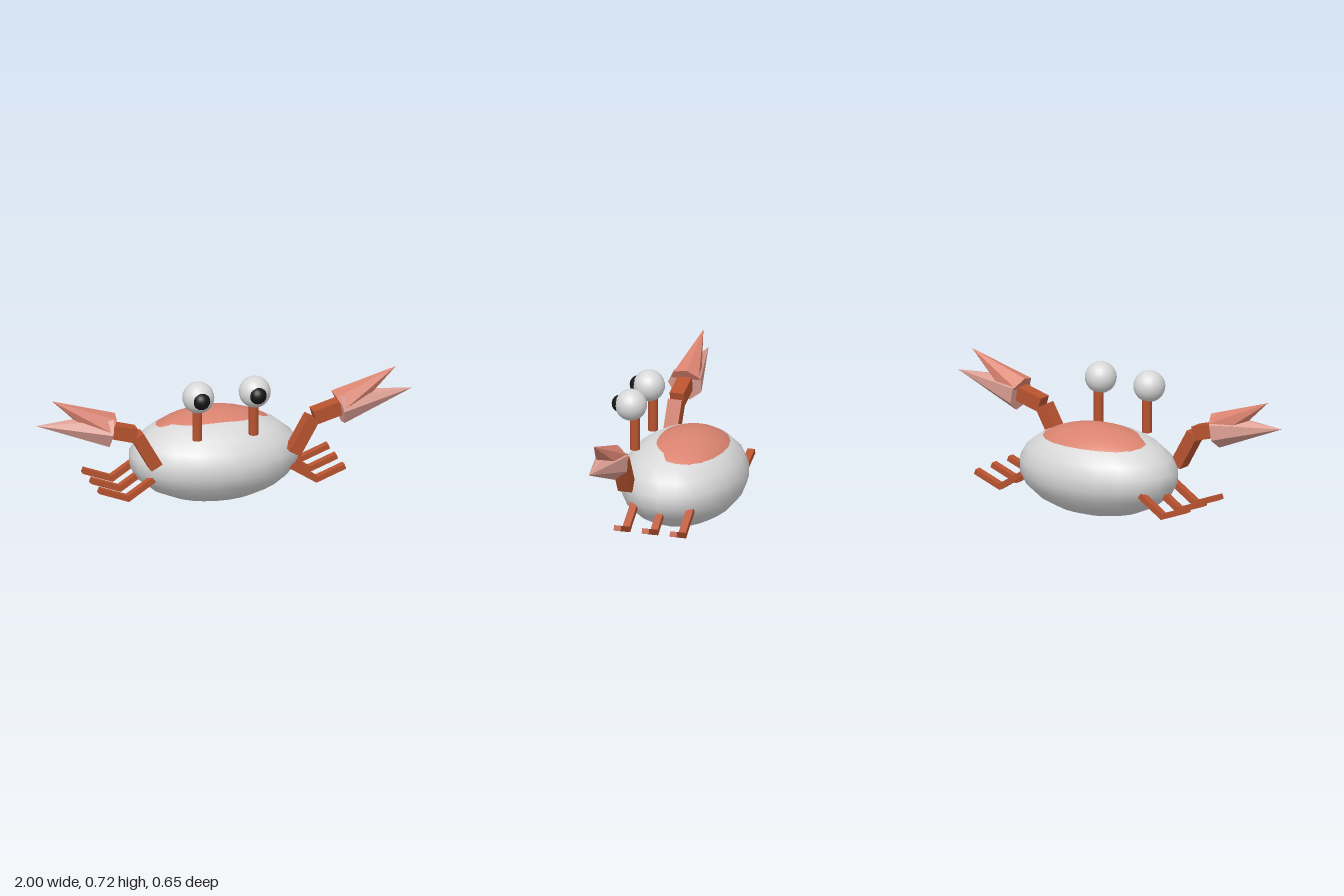
import * as THREE from 'three';

const mat = (name, color) => {
  const m = new THREE.MeshStandardMaterial({ color });
  m.name = name;
  return m;
};

export function createModel() {
  const model = new THREE.Group();
  model.name = 'crab';
  const paleGrey = mat('paleGrey', 0xd8d8d8);
  const rust = mat('rust', 0xb8532f);
  const coral = mat('coral', 0xda8370);
  const pink = mat('pink', 0xdc9f94);
  const black = mat('black', 0x151515);
  const up = new THREE.Vector3(0, 1, 0);

  const add = (name, geometry, material, x = 0, y = 0, z = 0) => {
    const mesh = new THREE.Mesh(geometry, material);
    mesh.name = name;
    mesh.position.set(x, y, z);
    model.add(mesh);
    return mesh;
  };

  // Stretches a y-aligned part between two points [x, y] at depth z
  const span = (name, make, material, a, b, z) => {
    const dir = new THREE.Vector2(b[0] - a[0], b[1] - a[1]);
    const length = dir.length();
    const mesh = add(name, make(length), material, (a[0] + b[0]) / 2, (a[1] + b[1]) / 2, z);
    mesh.quaternion.setFromUnitVectors(up, new THREE.Vector3(dir.x / length, dir.y / length, 0));
  };
  const bar = (thick, depth) => (length) => new THREE.BoxGeometry(thick, length, depth);
  const spike = (radius) => (length) => {
    const g = new THREE.ConeGeometry(radius, length, 7).toNonIndexed();
    g.computeVertexNormals();
    return g;
  };

  // Body
  add('body', new THREE.SphereGeometry(1, 22, 11), paleGrey, 0, 0.232, -0.01).scale.set(0.446, 0.232, 0.319);

  // Coloured shell cap, sheared slightly so it rises towards the back
  const cap = new THREE.SphereGeometry(1, 22, 9, 0, Math.PI * 2, 0, 1.1);
  cap.scale(0.429, 0.265, 0.295);
  const p = cap.attributes.position;
  for (let i = 0; i < p.count; i++) p.setY(i, p.getY(i) - 0.055 * p.getZ(i));
  cap.computeVertexNormals();
  add('shellCap', cap, coral, 0, 0.21, -0.01);

  for (const s of [1, -1]) {
    const side = s > 0 ? 'left' : 'right';
    const at = (x, y) => [s * x, y];

    // Eyes on stalks
    add(side + 'EyeStalk', new THREE.CylinderGeometry(0.025, 0.025, 0.18, 16), rust, s * 0.15, 0.49, 0.207);
    add(side + 'Eye', new THREE.SphereGeometry(0.082, 20, 14), paleGrey, s * 0.15, 0.64, 0.228);
    add(side + 'Pupil', new THREE.SphereGeometry(0.046, 18, 12), black, s * 0.15, 0.64, 0.284);

    // Three bent legs
    for (const z of [0.14, -0.01, -0.16]) {
      span(side + 'UpperLeg', bar(0.03, 0.038), rust, at(0.35, 0.194), at(0.505, 0.093), z);
      span(side + 'LowerLeg', bar(0.028, 0.038), rust, at(0.495, 0.093), at(0.652, 0.153), z);
    }

    // Arm and the two halves of the claw
    span(side + 'UpperArm', bar(0.067, 0.075), rust, at(0.366, 0.273), at(0.467, 0.452), 0.182);
    span(side + 'Forearm', bar(0.075, 0.075), rust, at(0.475, 0.457), at(0.65, 0.507), 0.182);
    span(side + 'UpperPincer', spike(0.085), coral, at(0.618, 0.506), at(0.914, 0.682), 0.182);
    span(side + 'LowerPincer', spike(0.093), pink, at(0.613, 0.494), at(1, 0.556), 0.182);
  }
  return model;
}
